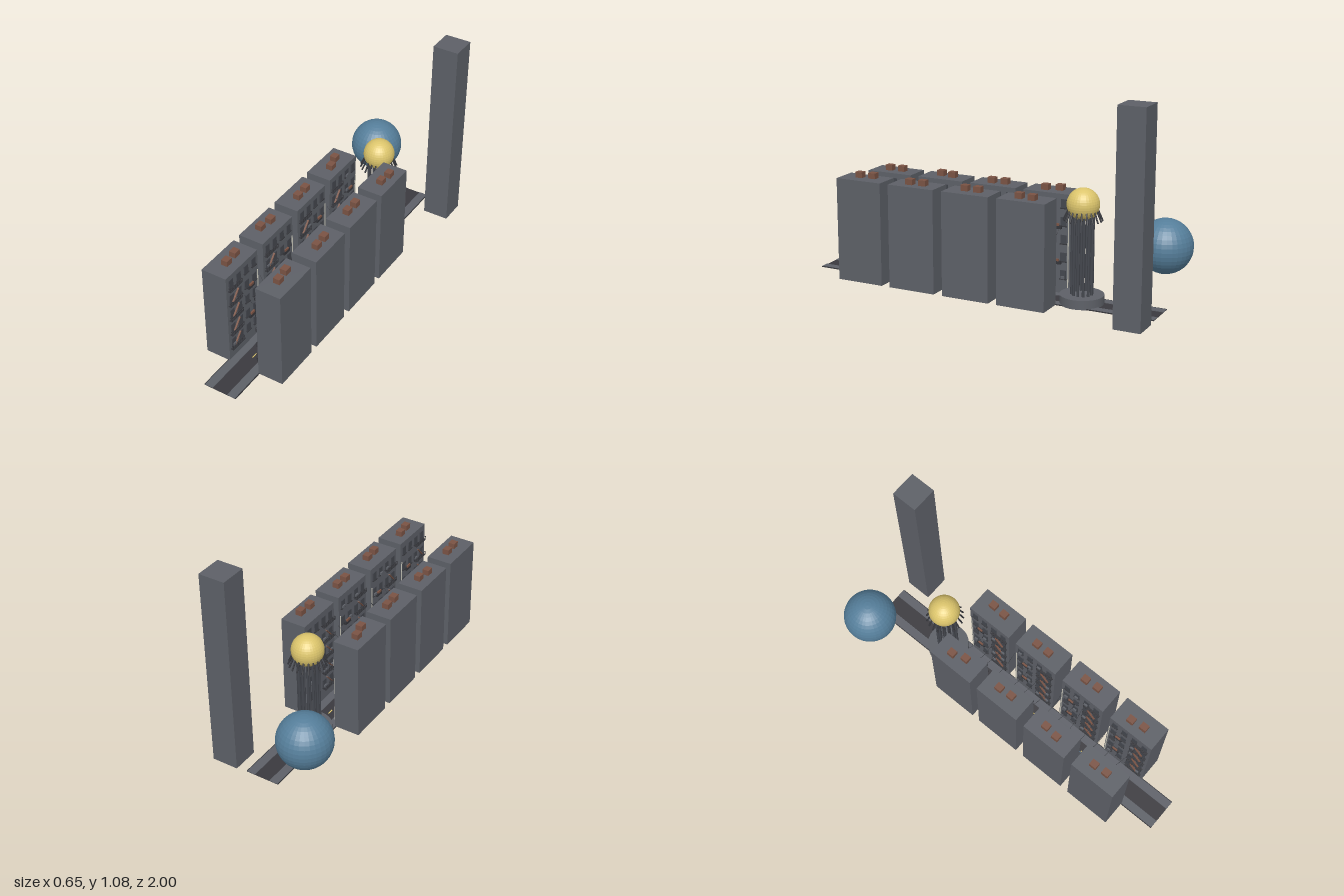
import * as THREE from 'three';

const material = (name, color, extra = {}) => Object.assign(new THREE.MeshStandardMaterial({ color, ...extra }), { name });

export function createModel() {
  const M = {
    concrete: material('concrete', 0x5d6067),
    asphalt: material('asphalt', 0x3a393e),
    iron: material('iron', 0x35363b),
    brick: material('brick', 0x7a5344),
    gold: material('gold', 0xdcc56c, { flatShading: true }),
    blue: material('blue', 0x557e9a, { flatShading: true }),
    glass: material('window glass', 0x44474e),
    cloth: material('pale cloth', 0xc4c2b6),
  };
  const root = new THREE.Group();

  const add = (parent, name, geo, mat, x, y, z) => {
    const m = new THREE.Mesh(geo, mat);
    m.name = name;
    m.position.set(x, y, z);
    parent.add(m);
    return m;
  };
  const box = (parent, name, mat, w, h, d, x, y, z) =>
    add(parent, name, new THREE.BoxGeometry(w, h, d), mat, x, y, z);
  // round bar between two points
  const bar = (parent, name, mat, r, a, b, sides = 8) => {
    const dir = b.clone().sub(a);
    const m = add(parent, name, new THREE.CylinderGeometry(r, r, dir.length(), sides), mat, 0, 0, 0);
    m.position.copy(a).add(b).multiplyScalar(0.5);
    m.quaternion.setFromUnitVectors(new THREE.Vector3(0, 1, 0), dir.normalize());
    return m;
  };
  const group = (name, x = 0, y = 0, z = 0) => {
    const g = new THREE.Group();
    g.name = name;
    g.position.set(x, y, z);
    root.add(g);
    return g;
  };
  let seed = 7;
  const rnd = () => (seed = (seed * 16807) % 2147483647) / 2147483647;

  // Street: road, raised pavements, kerbs and centre dashes
  const CX = 0.033;
  const street = group('street');
  box(street, 'road', M.asphalt, 0.186, 0.002, 1.92, CX, 0.001, 0.04);
  for (const s of [-1, 1]) {
    box(street, 'pavement', M.concrete, 0.046, 0.004, 1.92, CX + s * 0.066, 0.003, 0.04);
    box(street, 'kerb', M.iron, 0.004, 0.005, 1.92, CX + s * 0.091, 0.0025, 0.04);
  }
  for (let i = 0; i < 18; i++)
    box(street, 'laneDash', M.gold, 0.005, 0.001, 0.035, CX, 0.0028, -0.315 + i * 0.06);

  // Fire escape, windows and air units on a facade; side is the outward x direction
  function facade(parent, side, x, zc, height) {
    const floors = 5, pitch = (height - 0.06) / floors;
    const front = zc + 0.1;
    for (let f = 0; f < floors; f++) {
      const y = 0.06 + f * pitch;
      for (let c = 0; c < 4; c++) {
        const z = zc - 0.095 + c * 0.063;
        box(parent, 'window', M.glass, 0.004, 0.045, 0.032, x + side * 0.002, y + 0.045, z);
        box(parent, 'windowSill', M.iron, 0.008, 0.004, 0.038, x + side * 0.004, y + 0.02, z);
        if (rnd() < 0.25)
          box(parent, 'airUnit', M.concrete, 0.012, 0.014, 0.02, x + side * 0.006, y + 0.03, z);
      }
      // landing with handrails
      box(parent, 'landing', M.iron, 0.016, 0.003, 0.1, x + side * 0.008, y + 0.008, front - 0.03);
      for (const h of [0.018, 0.029])
        box(parent, 'handrail', M.iron, 0.002, 0.002, 0.1, x + side * 0.015, y + h, front - 0.03);
      for (let p = 0; p < 6; p++)
        box(parent, 'railPost', M.iron, 0.002, 0.022, 0.002, x + side * 0.015, y + 0.018, front - 0.079 + p * 0.0196);
      // stair to the next landing
      if (f < floors - 1) {
        const stair = box(parent, 'stair', M.brick, 0.009, 0.004, 0.075, x + side * 0.009, y + 0.05, front - 0.03);
        stair.rotation.x = 0.85;
      }
      if (f % 2) {
        box(parent, 'balcony', M.iron, 0.014, 0.018, 0.05, x + side * 0.007, y + 0.015, zc - 0.06);
        box(parent, 'flowerBox', M.brick, 0.008, 0.012, 0.03, x + side * 0.011, y + 0.028, zc - 0.06);
      }
    }
    box(parent, 'drainPipe', M.cloth, 0.004, height - 0.15, 0.004, x + side * 0.004, height / 2 - 0.04, zc - 0.123);
  }

  // Two rows of buildings with paired chimneys: [x, z offset] on each roof
  const rows = [
    { x: -0.12, inner: 1, h: 0.527, cx: [[-0.127, -0.105], [-0.115, -0.11], [-0.12, -0.13], [-0.12, -0.115]] },
    { x: 0.19, inner: -1, h: 0.55, cx: [[0.205, 0.2], [0.185, 0.185], [0.195, 0.2], [0.175, 0.185]] },
  ];
  const centers = [-0.267, 0.042, 0.354, 0.665];
  for (const row of rows)
    centers.forEach((z, i) => {
      const b = group('building');
      box(b, 'buildingBlock', M.concrete, 0.14, row.h, 0.263, row.x, row.h / 2, z);
      row.cx[i].forEach((x, k) =>
        box(b, 'chimney', M.brick, 0.036, 0.03, 0.04, x, row.h + 0.015, z - 0.041 + k * 0.073));
      facade(b, row.inner, row.x + row.inner * 0.07, z, row.h);
    });

  // Sagging lines across the street
  const lines = group('overheadLines');
  for (let i = 0; i < 14; i++) {
    const z = -0.34 + i * 0.078, y0 = 0.25 + rnd() * 0.15, y1 = 0.25 + rnd() * 0.15;
    const curve = new THREE.QuadraticBezierCurve3(
      new THREE.Vector3(-0.05, y0, z),
      new THREE.Vector3(CX, Math.min(y0, y1) - 0.08, z + 0.01),
      new THREE.Vector3(0.12, y1, z + rnd() * 0.04));
    add(lines, 'line', new THREE.TubeGeometry(curve, 12, 0.0009, 4), M.iron, 0, 0, 0);
  }
  box(lines, 'hangingSign', M.cloth, 0.012, 0.11, 0.012, -0.042, 0.215, 0.192);
  box(street, 'streetPatch', M.concrete, 0.07, 0.001, 0.055, CX, 0.0025, 0.37);

  // Small cars
  for (const [x, z, mat] of [[0.01, 0.06, M.blue], [0.01, 0.455, M.blue], [0.06, 0.25, M.gold]]) {
    const car = group('car', x, 0.002, z);
    box(car, 'carBody', mat, 0.03, 0.007, 0.05, 0, 0.006, 0);
    box(car, 'carCabin', M.glass, 0.022, 0.005, 0.024, 0, 0.012, 0);
    for (const sx of [-1, 1]) for (const sz of [-1, 1])
      add(car, 'wheel', new THREE.CylinderGeometry(0.004, 0.004, 0.004, 10).rotateZ(Math.PI / 2),
        M.iron, sx * 0.014, 0.004, sz * 0.015);
  }

  // Domed monument: base drum, ring of columns, flared struts, golden ball
  const monument = group('monument', CX, 0, -0.503);
  add(monument, 'base', new THREE.CylinderGeometry(0.113, 0.113, 0.048, 32), M.concrete, 0, 0.024, 0);
  for (let i = 0; i < 12; i++) {
    const a = (i / 12) * Math.PI * 2;
    add(monument, 'column', new THREE.CylinderGeometry(0.007, 0.007, 0.42, 10), M.glass,
      Math.sin(a) * 0.052, 0.255, Math.cos(a) * 0.052);
  }
  for (let i = 0; i < 20; i++) {
    const a = (i / 20) * Math.PI * 2;
    const at = (r, y) => new THREE.Vector3(Math.sin(a) * r, y, Math.cos(a) * r);
    bar(monument, 'strut', M.iron, 0.0045, at(0.073, 0.485), at(0.098, 0.43));
  }
  add(monument, 'goldenBall', new THREE.SphereGeometry(0.083, 32, 20), M.gold, 0, 0.512, 0);

  // Large ball and tower at the end of the street
  add(root, 'blueBall', new THREE.SphereGeometry(0.141, 32, 20), M.blue, -0.184, 0.289, -0.859);
  box(root, 'tower', M.concrete, 0.142, 1.08, 0.142, 0.251, 0.54, -0.857);

  return root;
}
